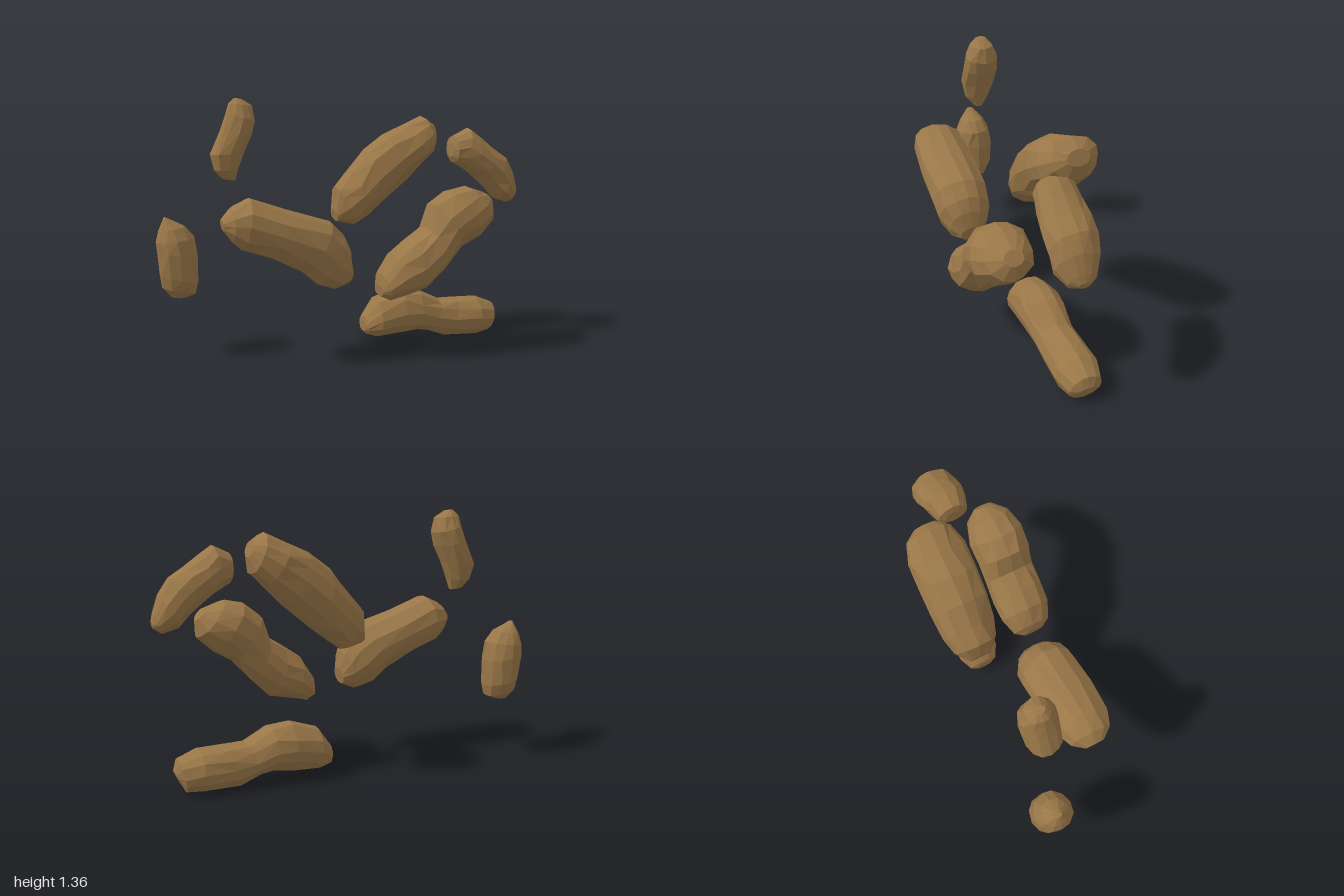
import * as THREE from 'three';

const SIDES = 12;

// Each stone: depth centre z, then sections along its length.
// A section is [x, y of one edge, x, y of the opposite edge, half depth].
const STONES = {
  upperLeftSmallStone: { z: -0.153, sections: [
    [-0.66, 0.945, -0.59, 0.935, 0.03], [-0.7, 0.99, -0.575, 0.99, 0.07], [-0.72, 1.07, -0.54, 1.08, 0.09],
    [-0.665, 1.195, -0.5, 1.17, 0.097], [-0.635, 1.28, -0.48, 1.24, 0.09], [-0.62, 1.33, -0.495, 1.32, 0.06],
    [-0.59, 1.36, -0.55, 1.355, 0.03]] },
  farLeftSmallStone: { z: -0.222, sections: [
    [-0.93, 0.325, -0.85, 0.32, 0.04], [-0.975, 0.38, -0.8, 0.34, 0.08], [-0.985, 0.45, -0.785, 0.4, 0.105],
    [-0.995, 0.57, -0.785, 0.54, 0.11], [-1, 0.62, -0.8, 0.64, 0.1], [-0.985, 0.68, -0.85, 0.7, 0.07],
    [-0.955, 0.75, -0.93, 0.74, 0.02]] },
  leftLargeStone: { z: 0.11, sections: [
    [-0.72, 0.77, -0.71, 0.71, 0.05], [-0.67, 0.83, -0.67, 0.655, 0.11], [-0.58, 0.87, -0.62, 0.61, 0.14],
    [-0.39, 0.805, -0.47, 0.56, 0.155], [-0.16, 0.735, -0.31, 0.48, 0.16], [-0.09, 0.665, -0.23, 0.41, 0.15],
    [-0.06, 0.59, -0.135, 0.377, 0.11], [-0.045, 0.5, -0.06, 0.41, 0.06]] },
  upperLargeStone: { z: -0.192, sections: [
    [-0.04, 0.757, -0.025, 0.69, 0.06], [-0.03, 0.88, 0.08, 0.666, 0.12], [0.045, 0.96, 0.15, 0.715, 0.145],
    [0.136, 1.08, 0.25, 0.79, 0.155], [0.25, 1.163, 0.39, 0.906, 0.157], [0.37, 1.215, 0.49, 1.005, 0.155],
    [0.48, 1.265, 0.55, 1.067, 0.12], [0.54, 1.227, 0.565, 1.147, 0.06]] },
  middleStone: { z: 0.19, sections: [
    [0.08, 0.4, 0.085, 0.34, 0.06], [0.09, 0.46, 0.13, 0.32, 0.11], [0.15, 0.565, 0.23, 0.34, 0.145],
    [0.245, 0.63, 0.33, 0.36, 0.15], [0.34, 0.69, 0.435, 0.463, 0.145], [0.38, 0.81, 0.54, 0.575, 0.15],
    [0.47, 0.88, 0.64, 0.634, 0.155], [0.57, 0.9, 0.725, 0.71, 0.12], [0.68, 0.863, 0.73, 0.8, 0.05]] },
  rightSmallStone: { z: -0.02, sections: [
    [0.592, 1.12, 0.59, 1.04, 0.045], [0.6, 1.158, 0.607, 1.008, 0.08], [0.69, 1.2, 0.64, 0.99, 0.1],
    [0.745, 1.158, 0.7, 0.955, 0.115], [0.83, 1.1, 0.756, 0.917, 0.123], [0.906, 1.05, 0.81, 0.858, 0.123],
    [0.955, 0.97, 0.865, 0.8, 0.11], [0.985, 0.88, 0.945, 0.778, 0.07], [0.995, 0.84, 0.985, 0.805, 0.03]] },
  bottomStone: { z: -0.12, sections: [
    [0.11, 0.13, 0.11, 0.07, 0.05], [0.115, 0.157, 0.13, 0.05, 0.08], [0.185, 0.254, 0.19, 0.03, 0.117],
    [0.334, 0.302, 0.32, 0.04, 0.125], [0.436, 0.286, 0.43, 0.048, 0.12], [0.57, 0.222, 0.5, 0.04, 0.112],
    [0.68, 0.22, 0.61, 0, 0.112], [0.81, 0.217, 0.8, 0, 0.12], [0.917, 0.174, 0.88, 0.005, 0.09],
    [0.933, 0.115, 0.91, 0.06, 0.05]] },
};

// Small seeded generator for the chipped, uneven facets
function seeded(seed) {
  return () => (seed = (seed * 16807) % 2147483647) / 2147483647;
}

// Faceted stone lofted through elliptical sections and closed at both ends
function stoneGeometry({ z, sections }, seed) {
  const random = seeded(seed);
  const points = [];
  const index = [];
  for (const [x1, y1, x2, y2, depth] of sections) {
    for (let j = 0; j < SIDES; j++) {
      // the four extreme points stay put so the outline keeps its shape
      const loose = j % (SIDES / 4) ? 1 : 0;
      const a = (j / SIDES) * Math.PI * 2 + loose * (random() - 0.5) * 0.28;
      const k = 1 + loose * (random() - 0.4) * 0.1;
      const u = Math.cos(a) * k;
      points.push((x1 + x2) / 2 + (u * (x1 - x2)) / 2, (y1 + y2) / 2 + (u * (y1 - y2)) / 2,
        z + Math.sin(a) * k * depth);
    }
  }
  const last = sections.length - 1;
  for (let i = 0; i < last; i++) {
    for (let j = 0; j < SIDES; j++) {
      const a = i * SIDES + j;
      const b = i * SIDES + ((j + 1) % SIDES);
      const c = b + SIDES;
      const d = a + SIDES;
      // alternate the diagonal for irregular facets
      if (random() < 0.5) index.push(a, b, c, a, c, d);
      else index.push(a, b, d, b, c, d);
    }
  }
  // end caps
  for (const [i, flip] of [[0, true], [last, false]]) {
    const [x1, y1, x2, y2] = sections[i];
    const centre = points.length / 3;
    points.push((x1 + x2) / 2, (y1 + y2) / 2, z);
    for (let j = 0; j < SIDES; j++) {
      const a = i * SIDES + j;
      const b = i * SIDES + ((j + 1) % SIDES);
      index.push(centre, flip ? b : a, flip ? a : b);
    }
  }
  const indexed = new THREE.BufferGeometry();
  indexed.setAttribute('position', new THREE.Float32BufferAttribute(points, 3));
  indexed.setIndex(index);
  const geometry = indexed.toNonIndexed();
  geometry.computeVertexNormals(); // one normal per facet
  return geometry;
}

export function createModel() {
  const group = new THREE.Group();
  group.name = 'stones';
  const brown = new THREE.MeshStandardMaterial({ color: 0x9a7748 });
  brown.name = 'earthy brown';

  Object.entries(STONES).forEach(([name, stone], i) => {
    const mesh = new THREE.Mesh(stoneGeometry(stone, 101 + i * 977), brown);
    mesh.name = name;
    group.add(mesh);
  });
  return group;
}
